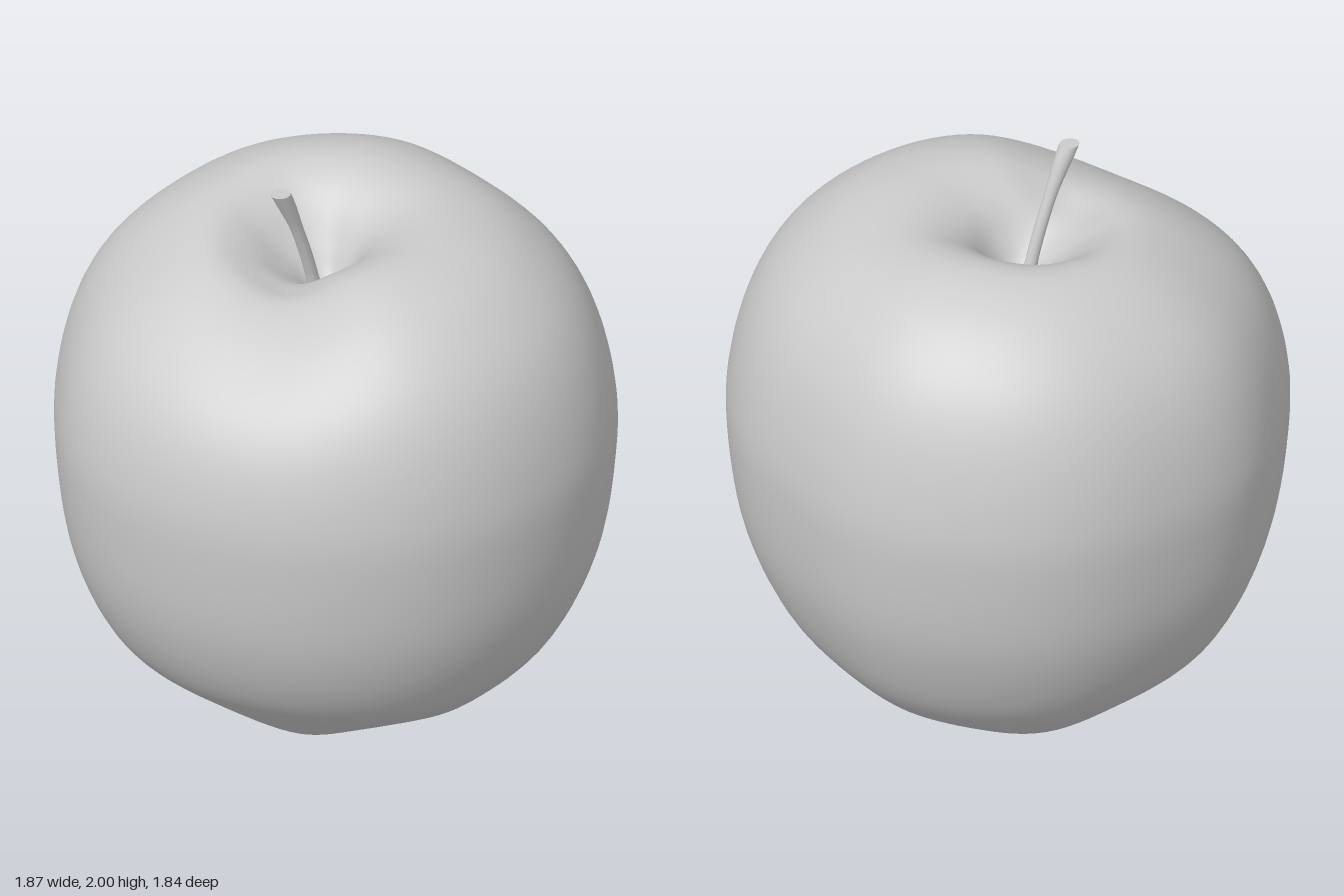
import * as THREE from 'three';
import { mergeVertices } from 'three/addons/utils/BufferGeometryUtils.js';

const smooth = THREE.MathUtils.smoothstep;
const material = new THREE.MeshStandardMaterial({ color: 0xcccccc, roughness: 0.8 });

// Outline radius by angle, every 22.5 degrees from +x towards +z
const OUTLINE = [0.93, 0.945, 0.95, 0.935, 0.92, 0.9, 0.892, 0.91, 0.93, 0.915, 0.93, 0.913, 0.92, 0.913, 0.917, 0.9];
// Shoulder height by angle, every 45 degrees
const SHOULDER = [1.79, 1.795, 1.78, 1.69, 1.735, 1.78, 1.812, 1.822];

// Smooth periodic lookup (Catmull-Rom)
function around(table, angle) {
  const n = table.length;
  const u = ((angle / (2 * Math.PI)) * n + 2 * n) % n;
  const i = Math.floor(u), t = u - i;
  const [a, b, c, d] = [-1, 0, 1, 2].map((k) => table[(i + k + n) % n]);
  return b + 0.5 * t * (c - a + t * (2 * a - 5 * b + 4 * c - d + t * (3 * (b - c) + d - a)));
}

// Lathed fruit, made irregular by angle
function fruitGeometry() {
  const profile = [
    [0, 0.14], [0.05, 0.133], [0.12, 0.095], [0.22, 0.042], [0.33, 0.018], [0.45, 0.048], [0.58, 0.135],
    [0.75, 0.325], [0.873, 0.62], [0.92, 0.97], [0.907, 1.2], [0.85, 1.415], [0.755, 1.58],
    [0.61, 1.712], [0.46, 1.782], [0.33, 1.79], [0.21, 1.73], [0.11, 1.62], [0.05, 1.545], [0, 1.525],
  ].map(([r, y]) => new THREE.Vector2(r, y));
  const points = new THREE.SplineCurve(profile).getPoints(110);
  points.forEach((p) => { p.x = Math.max(p.x, 0); });
  points[0].x = points[points.length - 1].x = 0;

  const geometry = new THREE.LatheGeometry(points, 96);
  const pos = geometry.attributes.position;
  for (let i = 0; i < pos.count; i++) {
    const x = pos.getX(i), z = pos.getZ(i);
    let y = pos.getY(i);
    const r = Math.hypot(x, z), angle = Math.atan2(z, x);
    const scale = around(OUTLINE, angle) / 0.92;
    // uneven shoulders, fading out in the stem cavity
    const top = smooth(y, 1.1, 1.75) * smooth(r, 0.03, 0.32);
    const shift = smooth(y, 1.4, 1.75) * (1 - smooth(r, 0.15, 0.6));
    // five soft lobes around the calyx, and a base that rises to the front left
    const base = 1 - smooth(y, 0, 0.55);
    const lobe = base * smooth(r, 0.06, 0.3) * (1 - smooth(r, 0.4, 0.75));
    const rise = base * smooth(r, 0.33, 0.6);
    y += (around(SHOULDER, angle) - 1.79) * top;
    y += 0.03 * Math.cos(angle - 0.75 * Math.PI) * rise - 0.018 * Math.cos(5 * (angle - 0.96)) * lobe;
    pos.setXYZ(i, x * scale - 0.055 * shift, Math.max(y, 0), z * scale - 0.02 * shift);
  }
  geometry.deleteAttribute('uv');
  geometry.deleteAttribute('normal');
  const merged = mergeVertices(geometry, 1e-4);
  merged.computeVertexNormals();
  return merged;
}

// Leaning stem that widens to a flat cut end
function stemGeometry() {
  const height = 0.5;
  const geometry = new THREE.CylinderGeometry(1, 1, height, 14, 16);
  const path = new THREE.QuadraticBezierCurve3(
    new THREE.Vector3(-0.05, 1.5, -0.005), new THREE.Vector3(-0.1, 1.75, 0.02), new THREE.Vector3(-0.217, 2, 0.08));
  const pos = geometry.attributes.position;
  for (let i = 0; i < pos.count; i++) {
    const t = pos.getY(i) / height + 0.5;
    const c = path.getPoint(t);
    const r = 0.022 + 0.012 * smooth(t, 0.6, 1) + 0.012 * (1 - smooth(t, 0, 0.2));
    pos.setXYZ(i, c.x + pos.getX(i) * r, c.y, c.z + pos.getZ(i) * r * 0.85);
  }
  geometry.computeVertexNormals();
  return geometry;
}

export function createModel() {
  const group = new THREE.Group();
  const add = (name, geometry, parent = group) => {
    const mesh = new THREE.Mesh(geometry, material);
    mesh.name = name;
    parent.add(mesh);
    return mesh;
  };
  add('fruit', fruitGeometry());
  add('stem', stemGeometry());

  // Dried calyx: five small withered sepals in the bottom cavity
  const calyx = new THREE.Group();
  calyx.name = 'calyx';
  const sepal = new THREE.ConeGeometry(0.02, 0.1, 6).scale(1, 1, 0.5).translate(0, 0.05, 0);
  for (let i = 0; i < 5; i++) {
    const a = (i / 5) * 2 * Math.PI + 0.3;
    const mesh = add('sepal', sepal, calyx);
    mesh.position.set(0.025 * Math.sin(a), 0.145, 0.025 * Math.cos(a));
    mesh.rotation.set(Math.PI - 0.45 - 0.35 * (i % 2), a, 0, 'YXZ');
  }
  group.add(calyx);
  return group;
}
